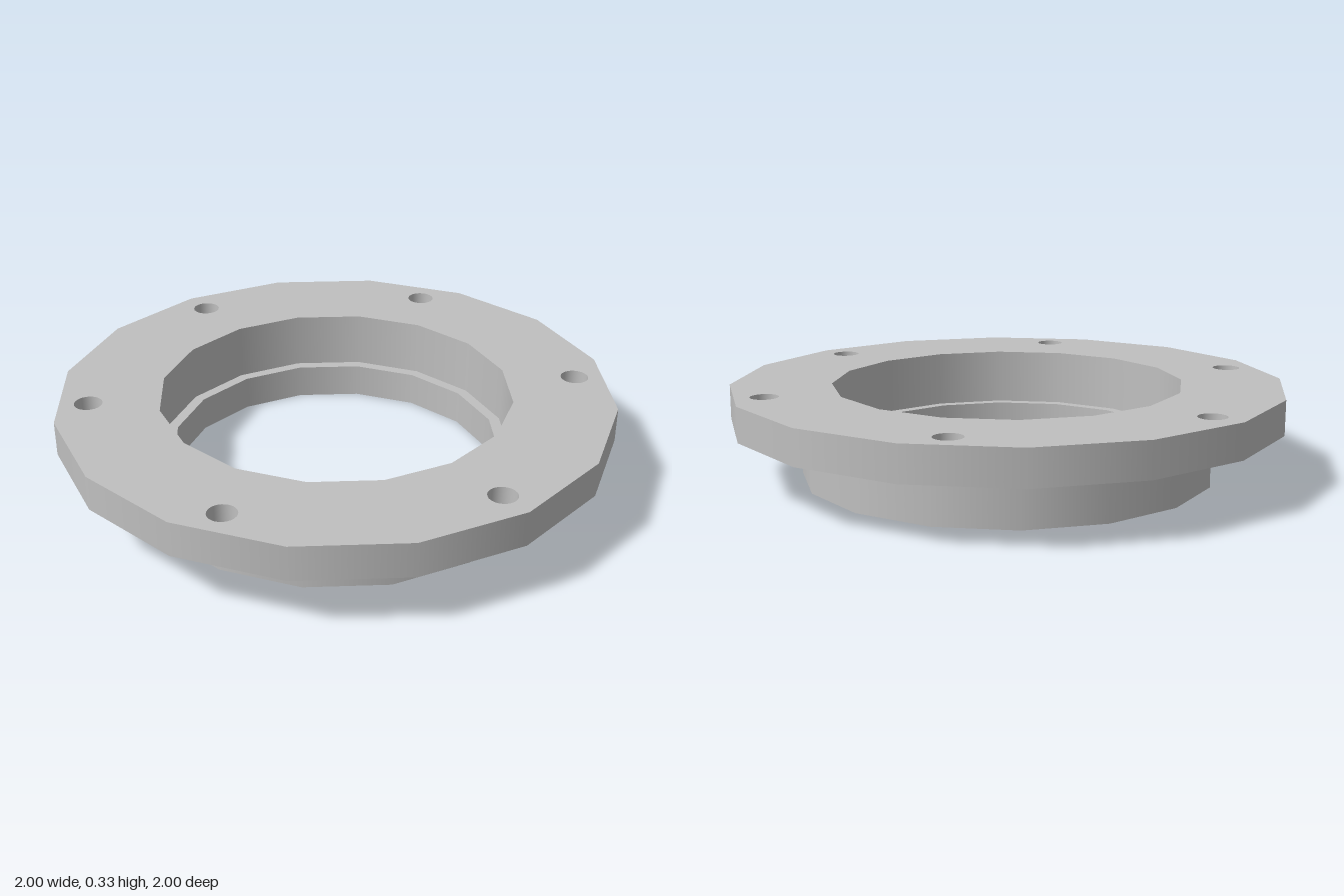
import * as THREE from 'three';

const SIDES = 16;
const OUTER = 1, NECK = 0.75, BORE = 0.635, LIP = 0.595; // radii
const TOP = 0.33, UNDER = 0.205, STEP = 0.126;           // heights
const HOLE = 0.05, HOLE_CIRCLE = 0.88;

export function createModel() {
  const model = new THREE.Group();
  model.name = 'flangedCollar';
  const metal = new THREE.MeshStandardMaterial({ color: 0xc0c0c0 });
  metal.name = 'grey metal';

  const add = (name, geometry) => {
    const mesh = new THREE.Mesh(geometry, metal);
    mesh.name = name;
    model.add(mesh);
    return mesh;
  };

  // Upright wall: faces outward when y0 < y1, inward when y0 > y1
  const wall = (r, y0, y1, sides = SIDES) =>
    new THREE.LatheGeometry([new THREE.Vector2(r, y0), new THREE.Vector2(r, y1)], sides);

  const polygon = (r) => Array.from({ length: SIDES }, (_, i) => {
    const a = (i / SIDES) * Math.PI * 2;
    return new THREE.Vector2(Math.cos(a) * r, Math.sin(a) * r);
  });

  const boltCentres = Array.from({ length: 6 }, (_, i) => {
    const a = Math.PI / 2 + (i * Math.PI) / 3;
    return new THREE.Vector2(Math.cos(a) * HOLE_CIRCLE, Math.sin(a) * HOLE_CIRCLE);
  });

  // Level ring face, optionally pierced by the bolt holes
  const ring = (outer, inner, y, up, bolts = false) => {
    const shape = new THREE.Shape(polygon(outer));
    shape.holes.push(new THREE.Path(polygon(inner)));
    if (bolts) {
      for (const c of boltCentres) {
        shape.holes.push(new THREE.Path().absarc(c.x, c.y, HOLE, 0, Math.PI * 2, true));
      }
    }
    return new THREE.ShapeGeometry(shape, 12)
      .rotateX(up ? -Math.PI / 2 : Math.PI / 2)
      .translate(0, y, 0);
  };

  // Flange
  add('flangeTop', ring(OUTER, BORE, TOP, true, true));
  add('flangeRim', wall(OUTER, UNDER, TOP));
  add('flangeUnderside', ring(OUTER, NECK, UNDER, false, true));

  // Neck
  add('neckWall', wall(NECK, 0, UNDER));
  add('neckBottom', ring(NECK, LIP, 0, false));

  // Stepped bore
  add('upperBore', wall(BORE, TOP, STEP));
  add('boreStep', ring(BORE, LIP, STEP, true));
  add('lowerBore', wall(LIP, STEP, 0));

  // Bolt hole walls
  for (const c of boltCentres) {
    add('boltHole', wall(HOLE, TOP, UNDER, 24)).position.set(c.x, 0, c.y);
  }
  return model;
}
